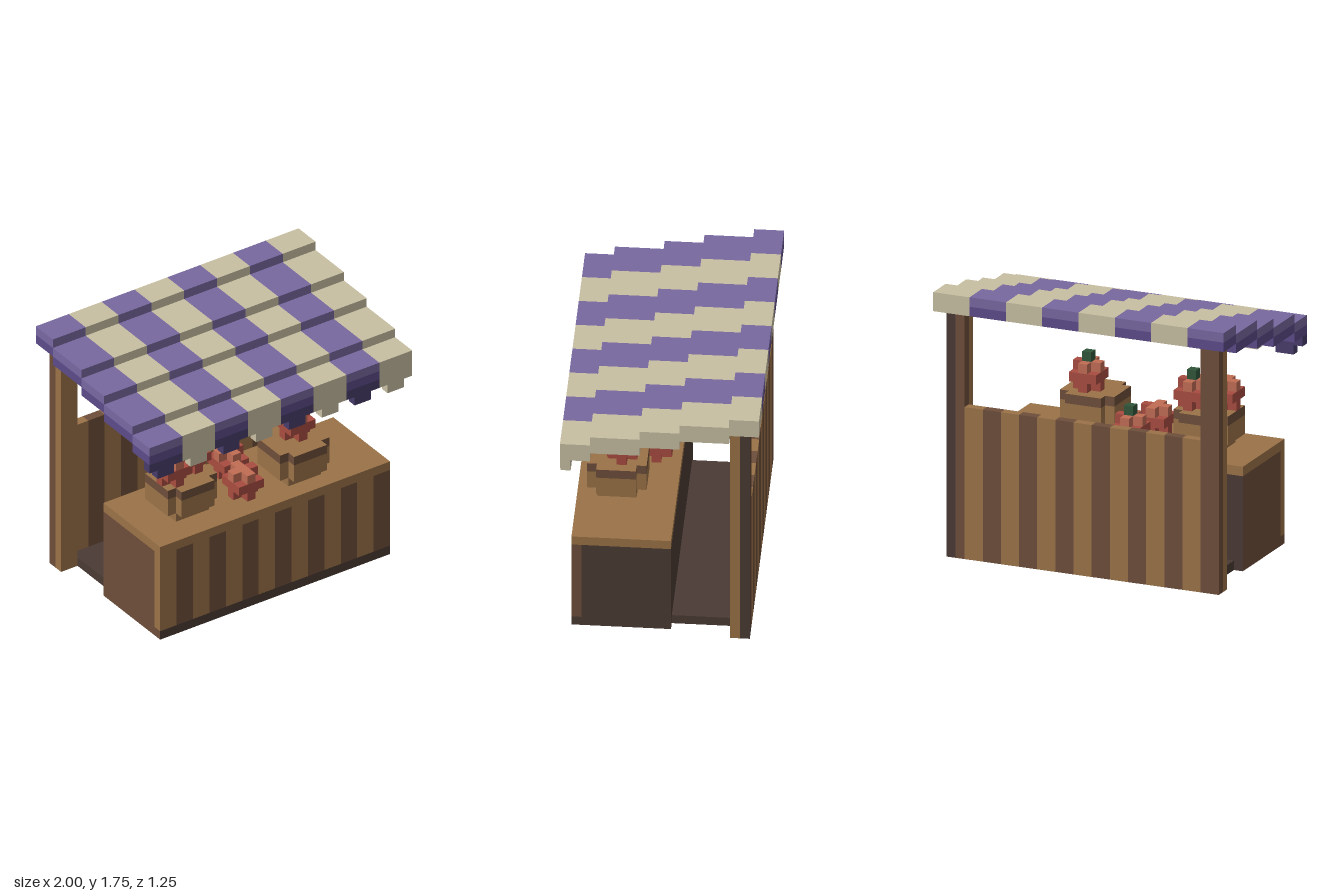
import * as THREE from 'three';
import { mergeGeometries } from 'three/addons/utils/BufferGeometryUtils.js';

const U = 1 / 16; // one block
const mat = (name, color) => {
  const m = new THREE.MeshStandardMaterial({ color });
  m.name = name;
  return m;
};

export function createModel() {
  const lightWood = mat('lightWood', 0x9a7247);
  const midWood = mat('midWood', 0x6d4e3a);
  const darkWood = mat('darkWood', 0x4a3a34);
  const cream = mat('cream', 0xc8bfa2);
  const purple = mat('purple', 0x7868a0);
  const midPurple = mat('midPurple', 0x5c4b8a);
  const darkPurple = mat('darkPurple', 0x483c6a);
  const red = mat('red', 0xa84c40);
  const lightRed = mat('lightRed', 0xc06c54);
  const green = mat('green', 0x30553a);

  const model = new THREE.Group();
  model.name = 'marketStall';
  const group = (name) => {
    const g = new THREE.Group();
    g.name = name;
    model.add(g);
    return g;
  };

  // Box between two corners given in blocks
  const boxGeo = (x0, x1, y0, y1, z0, z1) =>
    new THREE.BoxGeometry((x1 - x0) * U, (y1 - y0) * U, (z1 - z0) * U)
      .translate((x0 + x1) / 2 * U, (y0 + y1) / 2 * U, (z0 + z1) / 2 * U);
  const add = (parent, name, geo, material) => {
    const mesh = new THREE.Mesh(geo, material);
    mesh.name = name;
    parent.add(mesh);
  };
  const box = (parent, name, material, ...c) => add(parent, name, boxGeo(...c), material);

  // Counter with planked front
  const counter = group('counter');
  const sides = [darkWood, midWood, darkWood, midWood, darkWood, darkWood];
  box(counter, 'counterBase', sides, -14, 14, 0, 1, -1, 9);
  box(counter, 'counterBody', sides, -14, 14, 1, 10, -1, 8);
  box(counter, 'counterTop', lightWood, -14, 14, 10, 11, -1, 9);
  for (let i = 0; i < 14; i++) {
    const x = -14 + i * 2;
    box(counter, 'counterPlank', i % 2 ? midWood : lightWood, x, x + 2, 1, 10, 8, 9);
  }

  // Floor and back wall
  box(model, 'floor', darkWood, -13, 13, 0, 1, -8, -1);
  const wall = group('backWall');
  for (let i = 0; i < 13; i++) {
    const x = -13 + i * 2;
    box(wall, 'wallPlank', i % 2 ? midWood : lightWood, x, x + 2, 0, 16, -9, -8);
  }

  // Rear posts
  const posts = group('posts');
  for (const x of [-15, 13]) {
    box(posts, 'postFront', lightWood, x, x + 2, 0, 26, -8, -7);
    box(posts, 'postBackInner', midWood, x, x + 1, 0, 26, -9, -8);
    box(posts, 'postBackOuter', x > 0 ? darkWood : midWood, x + 1, x + 2, 0, 26, -9, -8);
  }

  // Striped awning in five steps, with a tabbed valance
  const awning = group('awning');
  const steps = [[7, 10, 22], [2, 7, 23], [-2, 2, 24], [-7, -2, 25], [-10, -7, 26]];
  for (let i = 0; i < 8; i++) {
    const x = -16 + i * 4;
    const [upper, lower, edge] = i % 2 ? [cream, cream, cream] : [purple, midPurple, darkPurple];
    for (const [z0, z1, y] of steps) {
      box(awning, 'awningUpper', upper, x, x + 4, y + 1, y + 2, z0, z1);
      box(awning, 'awningLower', lower, x, x + 4, y, y + 1, z0, z1);
    }
    box(awning, 'valance', edge, x, x + 4, 21, 22, 9, 10);
    box(awning, 'valanceTab', edge, x + 1, x + 3, 20, 21, 9, 10);
  }

  // Round basket: a square with one block cut from each corner
  const ringGeo = (cx, cz, y0, y1) => {
    const pts = [];
    for (let q = 0; q < 4; q++) {
      for (const [a, b] of [[3, -2], [3, 2], [2, 2]]) {
        const c = [1, 0, -1, 0][q], s = [0, 1, 0, -1][q];
        pts.push(new THREE.Vector2((a * c - b * s) * U, (a * s + b * c) * U));
      }
    }
    return new THREE.ExtrudeGeometry(new THREE.Shape(pts), { depth: (y1 - y0) * U, bevelEnabled: false })
      .rotateX(-Math.PI / 2).translate(cx * U, y0 * U, cz * U);
  };
  for (const [name, cx, cz] of [['rightBasket', -8, 4], ['leftBasket', 5, 5]]) {
    const basket = group(name);
    box(basket, 'basketFoot', lightWood, cx - 2, cx + 2, 11, 12, cz - 2, cz + 2);
    add(basket, 'basketBody', ringGeo(cx, cz, 12, 14), lightWood);
    add(basket, 'basketRim', ringGeo(cx, cz, 14, 15), [lightWood, midWood]);
  }

  // Blocky fruit: a cube of blocks without its eight corners
  const fruit = (x, y, z, leaf) => {
    const g = group('fruit');
    const skin = [], shine = [];
    for (let i = 0; i < 3; i++) for (let j = 0; j < 3; j++) for (let k = 0; k < 3; k++) {
      if (i !== 1 && j !== 1 && k !== 1) continue;
      const b = boxGeo(x + i, x + i + 1, y + j, y + j + 1, z + k, z + k + 1);
      (j === 2 && i < 2 ? shine : skin).push(b);
    }
    add(g, 'fruitSkin', mergeGeometries(skin), red);
    add(g, 'fruitHighlight', mergeGeometries(shine), lightRed);
    if (leaf) box(g, 'fruitLeaf', green, x + 1, x + 2, y + 3, y + 4, z + 1, z + 2);
  };
  fruit(-11, 15, 3, false);
  fruit(-8, 15, 2, true);
  fruit(4, 15, 3, true);
  fruit(-3, 11, 4, false);
  fruit(-2, 11, 0, true);

  return model;
}
